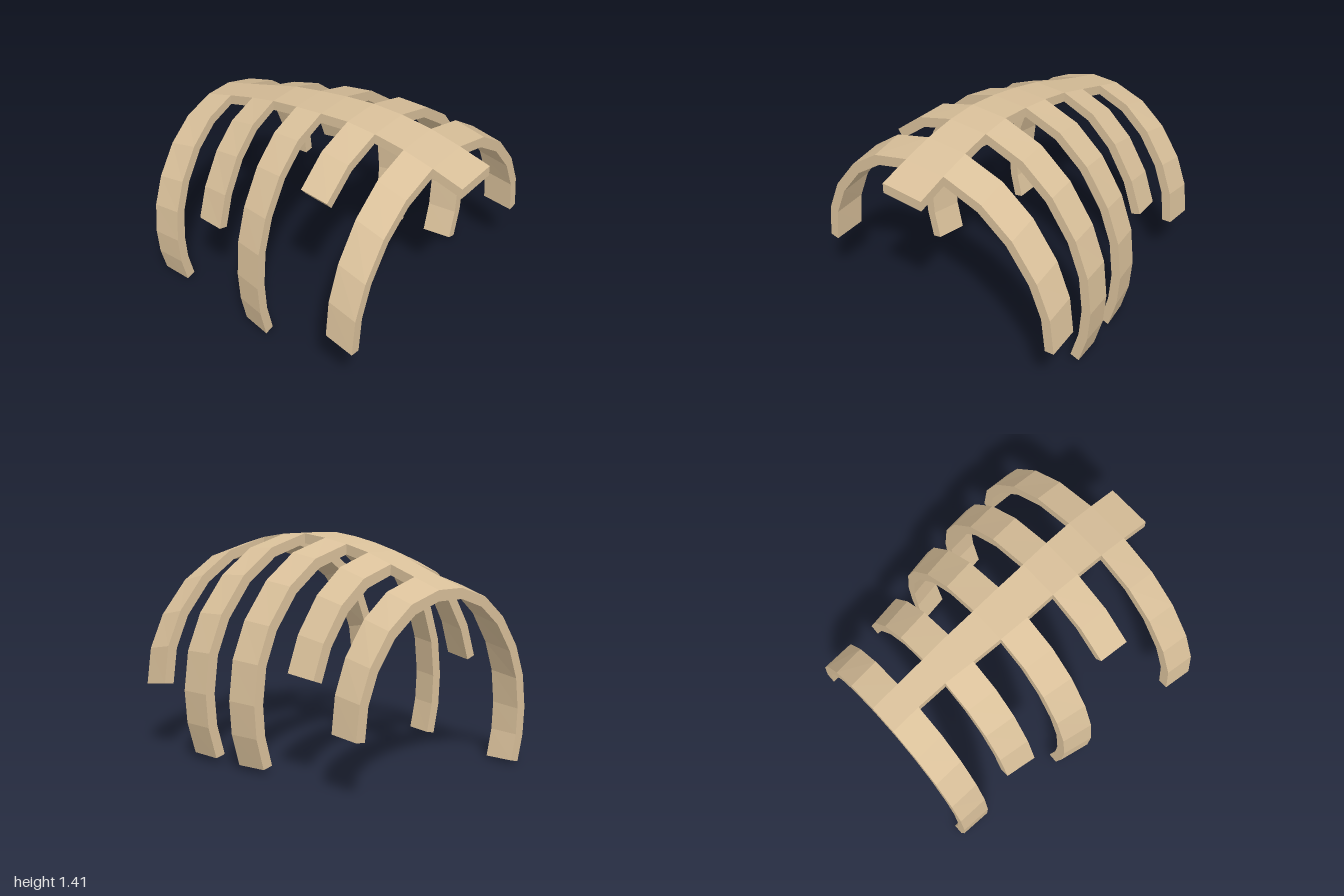
import * as THREE from 'three';

const THICK = 0.065;

// Stations along the spine: z, top y, spine left/right edge x, widest rib x on both sides, rib drop scale
const STATIONS = [
  [1.0, 1.26, -0.165, 0.13, 0, 0, 1],
  [0.8, 1.32, -0.17, 0.12, -0.92, 0.92, 0.93],
  [0.6, 1.37, -0.175, 0.11, -0.905, 0.91, 0.95],
  [0.4, 1.40, -0.18, 0.095, -0.91, 0.89, 1.0],
  [0.2, 1.41, -0.18, 0.08, -0.89, 0.865, 1.01],
  [0.0, 1.39, -0.18, 0.075, -0.82, 0.83, 1.0],
  [-0.2, 1.36, -0.17, 0.07, -0.78, 0.79, 0.975],
  [-0.4, 1.32, -0.155, 0.07, -0.73, 0.72, 0.957],
  [-0.6, 1.26, -0.13, 0.07, -0.70, 0.69, 0.90],
  [-0.8, 1.20, -0.12, 0.07, -0.71, 0.70, 0.88],
  [-1.0, 1.14, -0.12, 0.07, -0.71, 0.695, 0.83],
].map(([z, top, xr, xl, outR, outL, drop]) => ({ z, top, edge: { '-1': xr, 1: xl }, out: { '-1': outR, 1: outL }, drop }));

// Shared rib curve: fraction of the reach outwards, and drop below the spine
const RIB_CURVE = [[0, 0], [0.345, 0.08], [0.62, 0.24], [0.84, 0.47], [0.96, 0.70], [1, 0.95], [0.98, 1.16], [0.91, 1.36]];

// Front station index of each rib, with segments on the left (+x) and right side; some are broken short
const RIBS = [
  { at: 1, left: 5, right: 5 },
  { at: 3, left: 7, right: 2 },
  { at: 5, left: 7, right: 7 },
  { at: 7, left: 4, right: 4 },
  { at: 9, left: 5, right: 7 },
];

// Closed, faceted bar through a list of four-cornered rings
function loft(rings) {
  const pos = [];
  const quad = (a, b, c, d) => [a, b, c, a, c, d].forEach((p) => pos.push(...p));
  for (let i = 0; i < rings.length - 1; i++) {
    const a = rings[i], b = rings[i + 1];
    for (let k = 0; k < 4; k++) {
      const n = (k + 1) % 4;
      quad(a[k], b[k], b[n], a[n]);
    }
  }
  const end = rings[rings.length - 1];
  quad(...rings[0]);
  quad(end[3], end[2], end[1], end[0]);
  const g = new THREE.BufferGeometry();
  g.setAttribute('position', new THREE.Float32BufferAttribute(pos, 3));
  g.computeVertexNormals();
  return g;
}

// Outer rib points at one station, and the same line offset inwards by the thickness
function ribOutline(st, side, segments) {
  const outer = RIB_CURVE.slice(0, segments + 1).map(([t, d]) => new THREE.Vector2(
    st.edge[side] + (st.out[side] - st.edge[side]) * t, st.top - d * st.drop));
  const inward = (a, b) => {
    const d = b.clone().sub(a).normalize();
    return new THREE.Vector2(side * d.y, -side * d.x);
  };
  const inner = outer.map((p, i) => {
    if (i === 0) return new THREE.Vector2(p.x, p.y - THICK);
    const n1 = inward(outer[i - 1], p);
    const n2 = i < segments ? inward(p, outer[i + 1]) : n1;
    const n = n1.clone().add(n2).normalize();
    return p.clone().addScaledVector(n, THICK / n.dot(n1));
  });
  return { outer, inner };
}

function ribGeometry(at, side, segments) {
  const f = STATIONS[at], b = STATIONS[at + 1];
  const front = ribOutline(f, side, segments), back = ribOutline(b, side, segments);
  const rings = front.outer.map((p, i) => {
    const ring = [
      [p.x, p.y, f.z],
      [back.outer[i].x, back.outer[i].y, b.z],
      [back.inner[i].x, back.inner[i].y, b.z],
      [front.inner[i].x, front.inner[i].y, f.z],
    ];
    return side > 0 ? ring : ring.reverse();
  });
  return loft(rings);
}

export function createModel() {
  const model = new THREE.Group();
  model.name = 'ribCage';
  const bone = new THREE.MeshStandardMaterial({ color: 0xd9c09a });
  bone.name = 'bone';
  bone.flatShading = true;

  const add = (name, geometry) => {
    const mesh = new THREE.Mesh(geometry, bone);
    mesh.name = name;
    model.add(mesh);
  };

  // Arched spine from front to back
  add('spine', loft(STATIONS.map(({ z, top, edge }) => [
    [edge[1], top, z], [edge[-1], top, z], [edge[-1], top - THICK, z], [edge[1], top - THICK, z],
  ])));

  // Ribs on both sides
  RIBS.forEach(({ at, left, right }, i) => {
    add(`leftRib${i + 1}`, ribGeometry(at, 1, left));
    add(`rightRib${i + 1}`, ribGeometry(at, -1, right));
  });

  return model;
}
